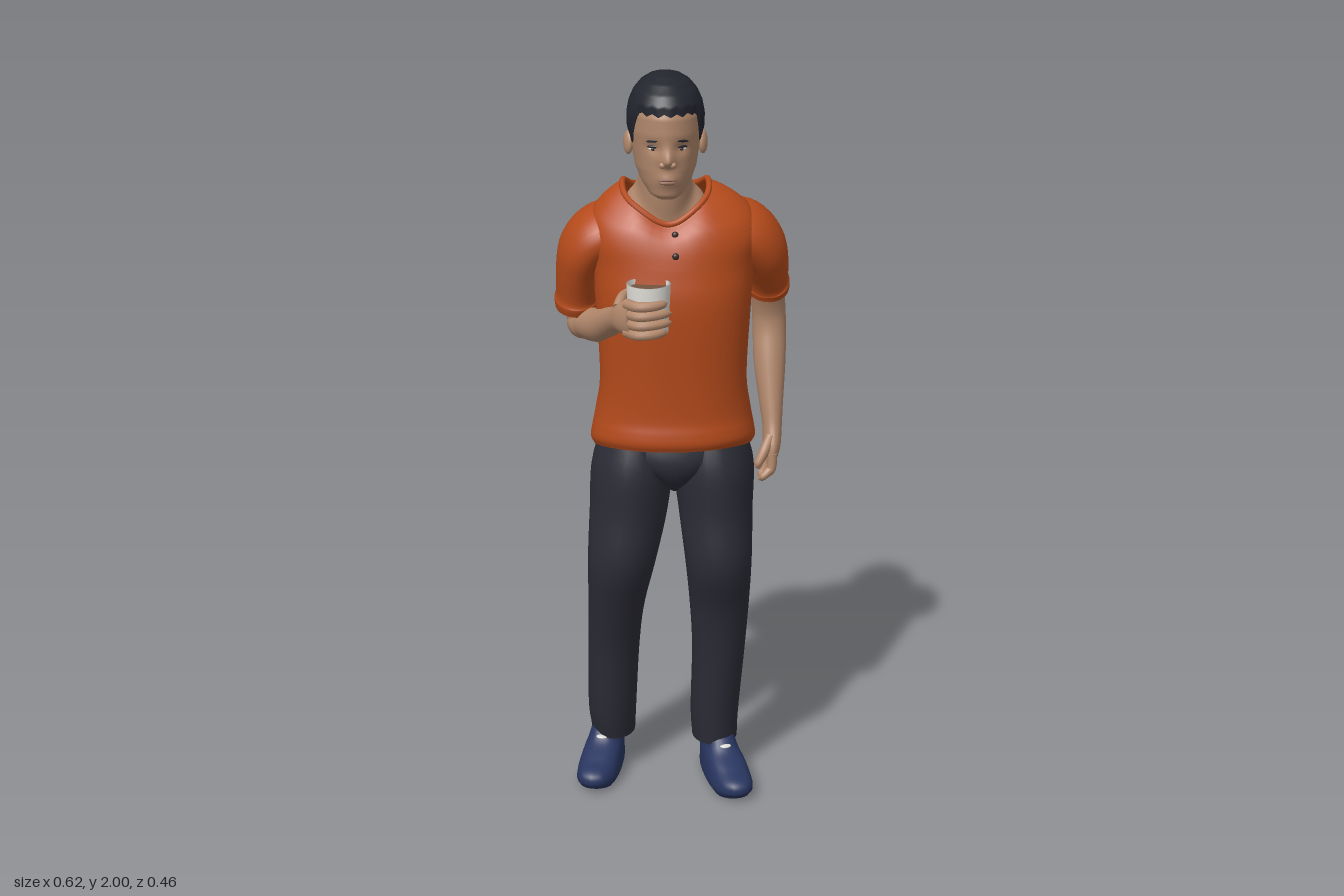
import * as THREE from 'three';

const mat = (name, color, side = THREE.FrontSide) => {
  const m = new THREE.MeshStandardMaterial({ color, side });
  m.name = name;
  return m;
};
const V = (x, y, z) => new THREE.Vector3(x, y, z);
const smooth = THREE.MathUtils.smoothstep;
const clamp = THREE.MathUtils.clamp;

// Closed skin around point(t, angle), with flat caps
function skinGeometry(point, sides, steps) {
  const pos = [], idx = [];
  for (let i = 0; i <= steps; i++)
    for (let j = 0; j < sides; j++) pos.push(...point(i / steps, j / sides * Math.PI * 2).toArray());
  for (let i = 0; i < steps; i++)
    for (let j = 0; j < sides; j++) {
      const a = i * sides + j, b = i * sides + (j + 1) % sides;
      idx.push(a, b, a + sides, b, b + sides, a + sides);
    }
  for (const end of [0, 1]) {
    const start = pos.length / 3, mid = V(0, 0, 0);
    for (let j = 0; j < sides; j++) {
      const p = point(end, j / sides * Math.PI * 2);
      mid.addScaledVector(p, 1 / sides);
      pos.push(...p.toArray());
    }
    pos.push(...mid.toArray());
    for (let j = 0; j < sides; j++) {
      const a = start + j, b = start + (j + 1) % sides;
      idx.push(start + sides, ...(end ? [a, b] : [b, a]));
    }
  }
  const g = new THREE.BufferGeometry();
  g.setAttribute('position', new THREE.Float32BufferAttribute(pos, 3));
  g.setIndex(idx);
  g.computeVertexNormals();
  return g;
}

// Rows are [x, y, z, halfWidth, halfDepth]; flat keeps the sections horizontal
function section(rows, { flat = false, ref = V(1, 0, 0), power = 1, round = false, bend } = {}) {
  const path = new THREE.CatmullRomCurve3(rows.map(r => V(r[0], r[1], r[2])), false, 'catmullrom', 0.5);
  const size = new THREE.CatmullRomCurve3(rows.map(r => V(r[3], r[4], 0)), false, 'catmullrom', 0.5);
  const e = (v) => Math.sign(v) * Math.abs(v) ** power;
  return (t, ang) => {
    const n = flat ? V(0, 1, 0) : path.getTangent(t);
    const u = ref.clone().addScaledVector(n, -ref.dot(n)).normalize();
    const v = n.clone().cross(u);
    const k = round && t > 0.85 ? Math.sqrt(Math.max(0.01, 1 - ((t - 0.85) / 0.15) ** 2)) : 1;
    const s = size.getPoint(t);
    const p = path.getPoint(t).addScaledVector(u, s.x * k * e(Math.cos(ang))).addScaledVector(v, s.y * k * e(Math.sin(ang)));
    if (bend) bend(p);
    return p;
  };
}

// Head profile: height, front z, back z, half width
const HX = -0.022;
const HEAD = [
  [1.695, 0.112, 0.05, 0.025], [1.705, 0.124, 0.02, 0.043], [1.735, 0.13, -0.05, 0.064],
  [1.77, 0.135, -0.092, 0.078], [1.82, 0.138, -0.106, 0.086], [1.86, 0.144, -0.11, 0.09],
  [1.9, 0.143, -0.108, 0.09], [1.93, 0.132, -0.099, 0.084], [1.955, 0.114, -0.084, 0.072],
  [1.975, 0.085, -0.06, 0.053], [1.987, 0.053, -0.03, 0.03], [1.993, 0.02, 0.01, 0.005],
];
function headAt(y) {
  let i = 0;
  while (i < HEAD.length - 2 && y > HEAD[i + 1][0]) i++;
  const A = HEAD[i], B = HEAD[i + 1], k = clamp((y - A[0]) / (B[0] - A[0]), 0, 1);
  const [f, b, w] = [1, 2, 3].map(c => A[c] + (B[c] - A[c]) * k);
  return { z: (f + b) / 2, d: (f - b) / 2, w };
}
// Nose, mouth and eye-socket relief
function relief(dx, y) {
  const g = (v, s) => Math.exp(-((v / s) ** 2));
  const nose = 0.022 * g(dx, 0.015) * (y > 1.795 ? g(y - 1.795, 0.03) : g(y - 1.795, 0.012));
  const socket = -0.008 * (g(dx - 0.035, 0.018) + g(dx + 0.035, 0.018)) * g(y - 1.827, 0.015);
  return nose + socket + 0.008 * g(dx, 0.028) * g(y - 1.747, 0.017);
}
function headPoint(y, ang, off = 0) {
  const h = headAt(y), dx = (h.w + off) * Math.cos(ang), s = -Math.sin(ang);
  return V(HX + dx, y, h.z + (h.d + off) * s + (s > 0 && !off ? relief(dx, y) : 0));
}
function faceZ(dx, y) {
  const h = headAt(y);
  return h.z + h.d * Math.sqrt(1 - (dx / h.w) ** 2) + relief(dx, y);
}

export function createModel() {
  const root = new THREE.Group();
  root.name = 'standingFigure';
  const shirt = mat('shirt orange', 0xb44a1b, THREE.DoubleSide);
  const skin = mat('skin', 0xb1876b);
  const hair = mat('hair', 0x23252e, THREE.DoubleSide);
  const trouser = mat('trouser charcoal', 0x2b2c36);
  const shoe = mat('shoe blue', 0x28355f);
  const white = mat('mug white', 0xdedcd6, THREE.DoubleSide);
  const drink = mat('drink brown', 0x76543f);
  const lip = mat('lip', 0x946655);
  const dark = mat('button dark', 0x3a2a26);

  const add = (name, geo, m, parent = root) => {
    const mesh = new THREE.Mesh(geo, m);
    mesh.name = name;
    parent.add(mesh);
    return mesh;
  };
  const loft = (name, rows, m, o = {}) =>
    add(name, skinGeometry(section(rows, o), o.sides || 28, o.steps || 32), m, o.parent);
  const ball = (name, x, y, z, a, b, c, m, parent) => {
    const s = add(name, new THREE.SphereGeometry(1, 20, 14), m, parent);
    s.position.set(x, y, z);
    s.scale.set(a, b, c);
    return s;
  };

  // Trousers
  loft('pelvis', [[0, 0.885, -0.05, 0.02, 0.08], [0, 0.925, -0.05, 0.08, 0.125], [0, 0.98, -0.05, 0.17, 0.142],
    [0, 1.06, -0.05, 0.178, 0.122]], trouser, { flat: true });
  loft('leftLeg', [[0.118, 0.11, -0.083, 0.063, 0.08], [0.117, 0.2, -0.075, 0.067, 0.083], [0.125, 0.4, -0.047, 0.073, 0.081],
    [0.125, 0.54, -0.025, 0.081, 0.085], [0.12, 0.68, 0.003, 0.09, 0.104], [0.113, 0.82, -0.03, 0.1, 0.127],
    [0.107, 0.95, -0.05, 0.108, 0.145], [0.1, 1.06, -0.05, 0.08, 0.115]], trouser, { flat: true });
  loft('rightLeg', [[-0.165, 0.11, -0.135, 0.061, 0.081], [-0.168, 0.2, -0.115, 0.067, 0.083], [-0.163, 0.4, -0.077, 0.071, 0.081],
    [-0.155, 0.54, -0.04, 0.077, 0.088], [-0.14, 0.68, -0.01, 0.092, 0.104], [-0.12, 0.82, -0.035, 0.105, 0.127],
    [-0.109, 0.95, -0.052, 0.108, 0.145], [-0.1, 1.06, -0.05, 0.08, 0.115]], trouser, { flat: true });

  // Shoes, wider at the toes, with a sliver of sock
  for (const [name, x, z, turn] of [['leftShoe', 0.14, -0.005, 0.25], ['rightShoe', -0.197, -0.077, -0.25]]) {
    const g = new THREE.Group();
    g.name = name;
    g.position.set(x, 0, z);
    g.rotation.y = turn;
    root.add(g);
    loft('shoeBody', [[0, 0.002, 0, 0.05, 0.137], [0, 0.02, 0, 0.06, 0.15], [0, 0.045, -0.003, 0.06, 0.143],
      [0, 0.075, -0.026, 0.057, 0.115], [0, 0.1, -0.054, 0.052, 0.085], [0, 0.13, -0.066, 0.046, 0.066]], shoe,
    { flat: true, power: 0.85, parent: g, bend: p => { p.x *= 0.92 + p.z * 1.2; p.y += 0.013 * smooth(p.z, 0.08, 0.15); } });
    add('heelPatch', new THREE.BoxGeometry(0.05, 0.004, 0.05), drink, g).position.set(0, 0.002, -0.07);
    ball('sock', 0, 0.112, 0.012, 0.016, 0.005, 0.012, white, g);
  }

  // Shirt body: neckline dipped at front and back, raised front hem, spine groove
  const neckDrop = p => {
    const k = clamp((p.y - 1.5) / 0.2, 0, 1);
    p.y -= k * (0.095 * smooth(p.z, -0.08, 0.06) * (1 - 0.4 * smooth(Math.abs(p.x + 0.015), 0, 0.1))
      + 0.028 * smooth(-p.z, 0.07, 0.14));
  };
  const shirtOptions = {
    flat: true, power: 0.9, bend: p => {
      neckDrop(p);
      p.y += 0.035 * (1 - smooth(p.y, 1.0, 1.12)) * smooth(p.z, -0.15, 0.1);
      if (p.z < -0.1) p.z += 0.012 * Math.exp(-((p.x / 0.035) ** 2)) * smooth(p.y, 1.05, 1.3);
    },
  };
  const shirtRows = [[0, 0.985, -0.06, 0.21, 0.162], [0, 1.005, -0.06, 0.219, 0.17], [0, 1.04, -0.057, 0.215, 0.165],
    [0, 1.1, -0.05, 0.205, 0.152], [0, 1.2, -0.037, 0.193, 0.142], [0, 1.4, -0.04, 0.203, 0.157],
    [0, 1.5, -0.051, 0.21, 0.154], [0, 1.58, -0.053, 0.22, 0.145], [-0.003, 1.635, -0.05, 0.205, 0.13],
    [-0.008, 1.672, -0.049, 0.172, 0.115], [-0.014, 1.695, -0.049, 0.138, 0.104], [-0.02, 1.708, -0.049, 0.108, 0.094]];
  const shirtPoint = section(shirtRows, shirtOptions);
  const body = skinGeometry(shirtPoint, 48, 60);
  body.setIndex(Array.from(body.index.array).slice(0, -48 * 3)); // neck left open
  add('shirtBody', body, shirt);
  const neckline = Array.from({ length: 32 }, (_, i) => shirtPoint(0.99, i / 32 * Math.PI * 2));
  add('collar', new THREE.TubeGeometry(new THREE.CatmullRomCurve3(neckline, true), 80, 0.008, 8, true), shirt);
  const chestZ = y => { // front surface of the shirt
    let best = V(0, 9, 0);
    for (let t = 0.5; t <= 1; t += 0.005) {
      const p = shirtPoint(t, Math.PI * 1.5);
      if (Math.abs(p.y - y) < Math.abs(best.y - y)) best = p;
    }
    return best.z;
  };
  for (const y of [1.592, 1.543]) ball('button', 0, y, chestZ(y), 0.009, 0.009, 0.007, dark);

  // Sleeves sloping off the shoulders, with a turned cuff
  loft('leftSleeve', [[0.11, 1.6, -0.065, 0.05, 0.085], [0.185, 1.575, -0.075, 0.066, 0.1], [0.228, 1.53, -0.093, 0.066, 0.1],
    [0.247, 1.475, -0.118, 0.06, 0.089], [0.254, 1.425, -0.14, 0.054, 0.073], [0.256, 1.41, -0.147, 0.058, 0.076],
    [0.257, 1.392, -0.153, 0.056, 0.073]], shirt);
  loft('rightSleeve', [[-0.11, 1.6, -0.06, 0.05, 0.085], [-0.185, 1.575, -0.068, 0.066, 0.1], [-0.228, 1.53, -0.08, 0.066, 0.1],
    [-0.243, 1.47, -0.096, 0.061, 0.09], [-0.249, 1.4, -0.111, 0.056, 0.076], [-0.25, 1.383, -0.115, 0.06, 0.08],
    [-0.25, 1.362, -0.12, 0.058, 0.076]], shirt);

  // Left arm hanging
  loft('leftArm', [[0.25, 1.45, -0.13, 0.045, 0.05], [0.26, 1.35, -0.17, 0.045, 0.046], [0.264, 1.28, -0.175, 0.045, 0.045],
    [0.264, 1.19, -0.15, 0.043, 0.044], [0.267, 1.08, -0.117, 0.032, 0.04], [0.269, 1.02, -0.1, 0.026, 0.04],
    [0.267, 0.97, -0.088, 0.024, 0.052], [0.263, 0.935, -0.082, 0.018, 0.05]], skin);
  for (let i = 0; i < 4; i++) {
    const z = -0.126 + i * 0.028, tip = i % 3 ? 0 : 0.012;
    loft('leftFinger', [[0.266, 0.96, z, 0.013, 0.015], [0.263, 0.92, z + 0.003, 0.013, 0.014],
      [0.25, 0.895 + tip, z + 0.008, 0.012, 0.013], [0.23, 0.88 + tip, z + 0.012, 0.01, 0.011]],
    skin, { sides: 10, steps: 14, round: true });
  }
  loft('leftThumb', [[0.262, 1.0, -0.065, 0.014, 0.018], [0.243, 0.965, -0.042, 0.014, 0.016], [0.22, 0.925, -0.028, 0.01, 0.011]],
    skin, { sides: 10, steps: 14, round: true });

  // Right arm bent close to the body, holding the mug
  const upright = V(0, 1, 0);
  loft('rightUpperArm', [[-0.25, 1.46, -0.1, 0.045, 0.05], [-0.245, 1.38, -0.11, 0.045, 0.048], [-0.235, 1.325, -0.095, 0.04, 0.04]], skin);
  ball('rightElbow', -0.235, 1.32, -0.095, 0.043, 0.045, 0.045, skin);
  loft('rightForearm', [[-0.235, 1.32, -0.095, 0.042, 0.04], [-0.196, 1.332, -0.02, 0.044, 0.042], [-0.167, 1.362, 0.05, 0.038, 0.036],
    [-0.149, 1.39, 0.115, 0.032, 0.027], [-0.134, 1.404, 0.16, 0.041, 0.024], [-0.112, 1.41, 0.195, 0.046, 0.02]],
  skin, { ref: upright });
  for (let i = 0; i < 4; i++) {
    const y = 1.374 + i * 0.0245, end = i % 3 ? 0 : -0.012;
    loft('rightFinger', [[-0.128, y, 0.182, 0.0135, 0.014], [-0.1, y, 0.214, 0.0135, 0.014],
      [-0.06, y + 0.002, 0.216, 0.0125, 0.013], [-0.014 + end, y + 0.004, 0.196, 0.01, 0.01]],
    skin, { ref: upright, sides: 10, steps: 14, round: true });
  }
  loft('rightThumb', [[-0.148, 1.425, 0.14, 0.014, 0.014], [-0.136, 1.445, 0.11, 0.013, 0.013], [-0.115, 1.455, 0.082, 0.009, 0.009]],
    skin, { ref: upright, sides: 10, steps: 14, round: true });

  // Mug and drink
  const mugProfile = [[0, 0], [0.047, 0], [0.05, 0.006], [0.056, 0.13], [0.051, 0.13], [0.048, 0.09]];
  add('mug', new THREE.LatheGeometry(mugProfile.map(p => new THREE.Vector2(...p)), 36), white).position.set(-0.07, 1.355, 0.13);
  add('drink', new THREE.CylinderGeometry(0.0505, 0.05, 0.006, 36), drink).position.set(-0.07, 1.47, 0.13);

  // Neck and head
  loft('neck', [[-0.02, 1.6, -0.05, 0.11, 0.085], [-0.02, 1.665, -0.05, 0.103, 0.086], [HX, 1.71, -0.037, 0.075, 0.076],
    [HX, 1.76, -0.022, 0.066, 0.07], [HX, 1.84, -0.01, 0.064, 0.07]], skin, { flat: true, bend: neckDrop });
  add('head', skinGeometry((t, a) => headPoint(1.695 + 0.298 * t, a), 72, 64), skin);

  // Close-cropped hair following the hairline
  add('hair', skinGeometry((t, a) => {
    const d = -Math.sin(a);
    const y0 = 1.765 + 0.065 * smooth(d, -0.8, 0) + 0.08 * smooth(d, 0.3, 0.65) + 0.004 * Math.sin(a * 18);
    const y = y0 + (1.993 - y0) * (1 - (1 - t) ** 2);
    const p = headPoint(y, a, 0.001 + 0.007 * Math.min(1, t * 7));
    p.y += 0.007 * smooth(t, 0.3, 1);
    return p;
  }, 72, 40), hair);

  // Face and ears
  for (const s of [-1, 1]) {
    const ex = s * 0.035;
    ball('eye', HX + ex, 1.825, faceZ(ex, 1.825) - 0.002, 0.013, 0.004, 0.004, white).rotation.y = s * 0.35;
    ball('iris', HX + ex, 1.825, faceZ(ex, 1.825) + 0.001, 0.005, 0.004, 0.003, dark);
    ball('eyelid', HX + ex, 1.831, faceZ(ex, 1.831), 0.016, 0.0035, 0.004, hair).rotation.y = s * 0.35;
    ball('eyebrow', HX + ex, 1.847, faceZ(ex, 1.847) - 0.001, 0.019, 0.0035, 0.003, hair).rotation.set(0, s * 0.4, -s * 0.12);
    ball('nostrilWing', HX + s * 0.013, 1.788, faceZ(s * 0.013, 1.788) - 0.002, 0.009, 0.008, 0.009, skin);
    const ear = ball('ear', HX + s * 0.094, 1.822, 0.02, 0.011, 0.03, 0.02, skin);
    ear.rotation.set(-0.15, s * -0.35, 0);
  }
  ball('upperLip', HX, 1.75, faceZ(0, 1.75) - 0.003, 0.024, 0.004, 0.005, lip);
  ball('lowerLip', HX, 1.742, faceZ(0, 1.742) - 0.003, 0.02, 0.005, 0.005, lip);
  return root;
}
